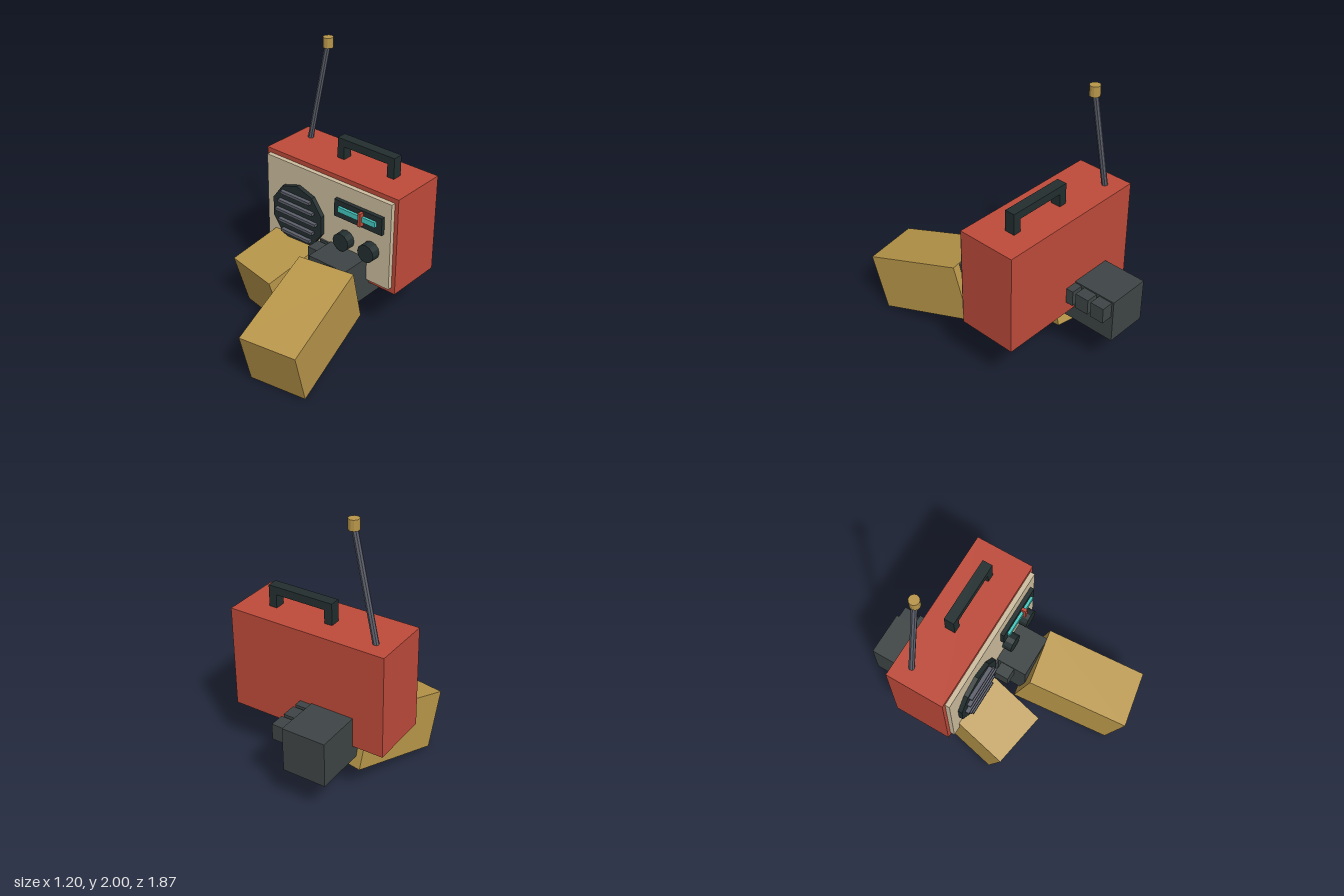
import * as THREE from 'three';

const mat = (name, color) => {
  const m = new THREE.MeshStandardMaterial({ color, flatShading: true });
  m.name = name;
  return m;
};

export function createModel() {
  const red = mat('case red', 0xbe4a3a);
  const cream = mat('panel cream', 0xcdbd9f);
  const gold = mat('brass', 0xb8964a);
  const grey = mat('hand grey', 0x3e4445);
  const dark = mat('trim dark', 0x232e2f);
  const metal = mat('metal grey', 0x5c5f6b);
  const cyan = mat('dial cyan', 0x45c9c0);
  const root = new THREE.Group();
  root.name = 'radioWithArms';

  const add = (name, geo, material, parent = root) => {
    const mesh = new THREE.Mesh(geo, material);
    mesh.name = name;
    parent.add(mesh);
    return mesh;
  };
  // Box given by its extents on each axis
  const box = (name, material, [x0, x1], [y0, y1], [z0, z1], parent) => {
    const mesh = add(name, new THREE.BoxGeometry(x1 - x0, y1 - y0, z1 - z0), material, parent);
    mesh.position.set((x0 + x1) / 2, (y0 + y1) / 2, (z0 + z1) / 2);
    return mesh;
  };
  // Disc facing the front
  const disc = (name, material, r, sides, x, y, z0, z1) => {
    const mesh = add(name, new THREE.CylinderGeometry(r, r, z1 - z0, sides), material);
    mesh.rotation.x = Math.PI / 2;
    mesh.position.set(x, y, (z0 + z1) / 2);
  };

  // Case and front panel
  box('case', red, [-0.6, 0.6], [0.405, 1.17], [-0.6, -0.15]);
  box('frontPanel', cream, [-0.57, 0.57], [0.45, 1.135], [-0.16, -0.115]);

  // Speaker with grille bars
  disc('speaker', dark, 0.244, 10, -0.255, 0.745, -0.12, -0.082);
  [0.138, 0.165, 0.194, 0.165, 0.138].forEach((half, i) => {
    const y = 0.905 - i * 0.08;
    box('grilleBar', metal, [-0.255 - half, -0.255 + half], [y - 0.011, y + 0.011], [-0.085, -0.052]);
  });

  // Tuning dial
  box('dialFrame', dark, [0.095, 0.515], [0.885, 1.02], [-0.12, -0.085]);
  box('dialStrip', cyan, [0.14, 0.47], [0.94, 0.98], [-0.09, -0.065]);
  box('dialPointer', red, [0.333, 0.357], [0.907, 1.01], [-0.085, -0.048]);

  // Knobs
  for (const x of [0.187, 0.41]) disc('knob', dark, 0.07, 12, x, 0.715, -0.12, -0.045);

  // Carry handle
  box('handleGrip', dark, [-0.105, 0.4], [1.27, 1.33], [-0.435, -0.357]);
  for (const x of [-0.105, 0.34]) box('handlePost', dark, [x, x + 0.06], [1.15, 1.27], [-0.435, -0.357]);

  // Slanted antenna with an upright tip
  const foot = new THREE.Vector3(-0.475, 1.13, -0.477);
  const tip = new THREE.Vector3(-0.304, 1.95, -0.477);
  const rod = tip.clone().sub(foot);
  const antenna = add('antenna', new THREE.CylinderGeometry(0.022, 0.022, rod.length(), 8), metal);
  antenna.position.copy(foot).lerp(tip, 0.5);
  antenna.quaternion.setFromUnitVectors(new THREE.Vector3(0, 1, 0), rod.normalize());
  const cap = add('antennaTip', new THREE.CylinderGeometry(0.038, 0.038, 0.075, 12), gold);
  cap.position.set(-0.302, 1.9625, -0.477);

  // Two arms: the left one reaches further forward
  for (const [side, z, label] of [[1, 0, 'left'], [-1, -0.58, 'right']]) {
    const arm = new THREE.Group();
    arm.name = label + 'Arm';
    arm.position.z = z;
    root.add(arm);

    const sleeve = add(label + 'Forearm', new THREE.BoxGeometry(0.436, 0.436, 0.786), gold, arm);
    sleeve.position.set(side * 0.276, 0.318, 0.461);
    sleeve.rotation.set(THREE.MathUtils.degToRad(16), side * THREE.MathUtils.degToRad(10), 0, 'YXZ');

    const span = (a, b) => (side > 0 ? [a, b] : [-b, -a]);
    box(label + 'Hand', grey, span(0.042, 0.37), [0.295, 0.63], [-0.357, 0.126], arm);
    for (let i = 0; i < 3; i++) {
      const f = -0.341 + i * 0.132;
      box(label + 'Finger', grey, span(-0.05, 0.06), [0.5, 0.62], [f, f + 0.108], arm);
    }
  }
  return root;
}
